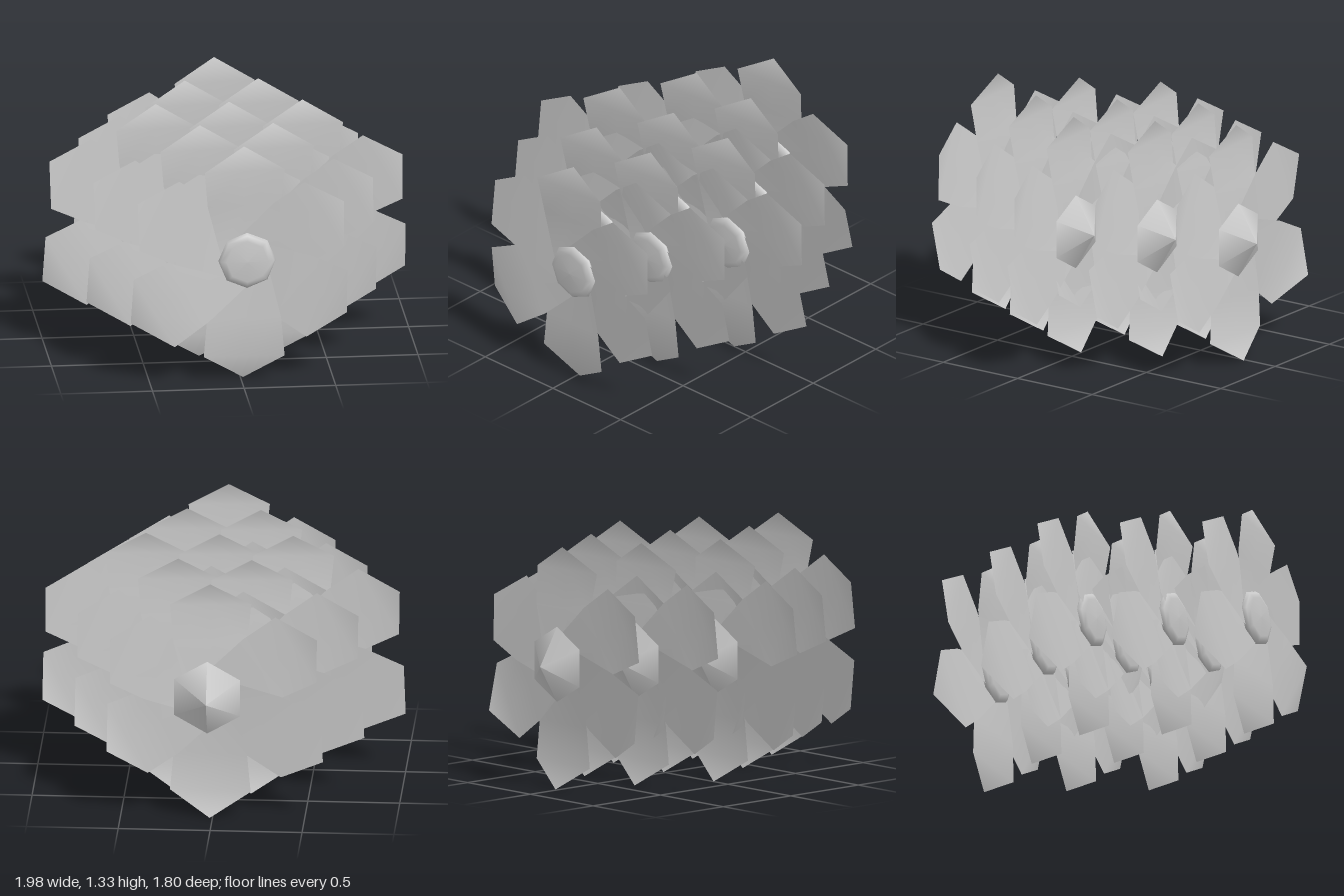
import * as THREE from 'three';

const grey = new THREE.MeshStandardMaterial({ color: 0xcccccc, side: THREE.DoubleSide });
grey.name = 'plainGrey';

// Per petal: angle, length, then depth of the left shoulder, right shoulder and tip
const PETALS = [
  [30, 0.63, 0.04, 0.0, 0.0],
  [90, 0.645, 0.053, 0.022, 0.0],
  [150, 0.67, 0.036, 0.01, 0.0],
  [210, 0.71, 0.04, 0.005, -0.035],
  [270, 0.685, 0.015, 0.0, -0.05],
  [330, 0.65, 0.036, 0.0, -0.02],
];

// Broad pointed petal, twisted so its left edge overlaps the neighbour
function petalGeometry([, length, left, right, tip]) {
  const rows = [ // distance along, half width, left depth, right depth
    [0.04, 0.13, 0.015, -0.015],
    [0.48 * length, 0.2, 0.02, -0.005],
    [0.8 * length, 0.22, left, right],
  ];
  const position = [];
  const index = [];
  for (const [r, w, zl, zr] of rows) {
    position.push(r, w, zl, r, 0, (zl + zr) / 2, r, -w, zr);
  }
  position.push(length, 0, tip);
  for (let i = 0; i < 2; i++) {
    for (let j = 0; j < 2; j++) {
      const a = i * 3 + j;
      index.push(a, a + 1, a + 4, a, a + 4, a + 3);
    }
  }
  index.push(6, 7, 9, 7, 8, 9);
  const g = new THREE.BufferGeometry();
  g.setAttribute('position', new THREE.Float32BufferAttribute(position, 3));
  g.setIndex(index);
  g.computeVertexNormals();
  return g;
}

const petalGeometries = PETALS.map(petalGeometry);

// Eight-sided cushion in the middle of the flower, turned to face +z
const cushion = new THREE.LatheGeometry([
  [0.1, -0.02], [0.15, 0], [0.157, 0.015], [0.145, 0.032], [0.115, 0.044], [0, 0.05],
].map(([r, y]) => new THREE.Vector2(r, y)), 8);
cushion.rotateX(Math.PI / 2);

// Six-sided cone behind the petals, pointing backwards
const cone = new THREE.ConeGeometry(0.207, 0.125, 6, 1, true);
cone.rotateX(-Math.PI / 2);

function makeFlower() {
  const flower = new THREE.Group();
  flower.name = 'flower';
  PETALS.forEach(([angle], i) => {
    const petal = new THREE.Mesh(petalGeometries[i], grey);
    petal.name = 'petal';
    petal.rotation.z = THREE.MathUtils.degToRad(angle);
    flower.add(petal);
  });
  const heart = new THREE.Mesh(cushion, grey);
  heart.name = 'flowerCentre';
  heart.position.set(0.015, 0, 0);
  const calyx = new THREE.Mesh(cone, grey);
  calyx.name = 'calyx';
  calyx.position.set(0.015, 0, -0.0875);
  flower.add(heart, calyx);
  return flower;
}

export function createModel() {
  const model = new THREE.Group();
  model.name = 'flowerCluster';
  // Diamond of nine flowers: rows of 1, 2, 3, 2, 1
  [1, 2, 3, 2, 1].forEach((count, row) => {
    for (let i = 0; i < count; i++) {
      const flower = makeFlower();
      flower.position.set(0.015 + (i - (count - 1) / 2) * 0.4, 0.685, 0.85 - row * 0.4);
      model.add(flower);
    }
  });
  return model;
}
